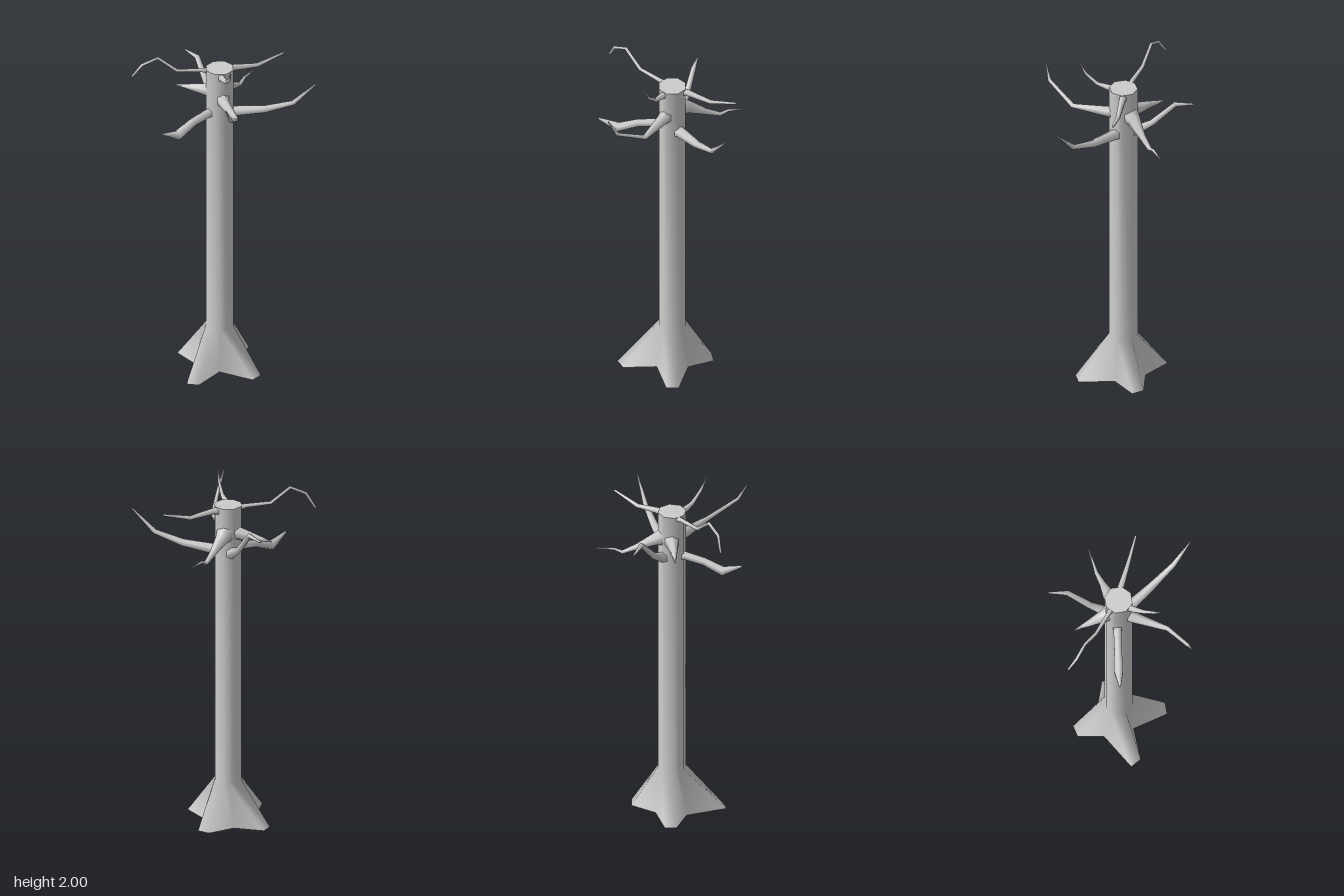
import * as THREE from 'three';

const V = (x, y, z) => new THREE.Vector3(x, y, z);
const material = new THREE.MeshStandardMaterial({ color: 0xcccccc });

// Skin equal-sized rings; sides share smooth normals, the end caps stay flat.
function loft(name, rings) {
  const n = rings[0].length, pos = [], idx = [];
  const push = (p) => pos.push(p.x, p.y, p.z) / 3 - 1;
  rings.forEach((ring) => ring.forEach(push));
  for (let i = 0; i < rings.length - 1; i++) {
    for (let j = 0; j < n; j++) {
      const a = i * n + j, b = i * n + (j + 1) % n;
      idx.push(a, b, a + n, b, b + n, a + n);
    }
  }
  [rings[0], rings[rings.length - 1]].forEach((ring, end) => {
    const mid = ring.reduce((s, p) => s.add(p), V(0, 0, 0)).divideScalar(n);
    const c = push(mid), first = ring.map(push)[0];
    for (let j = 0; j < n; j++) {
      const a = first + j, b = first + (j + 1) % n;
      if (end) idx.push(c, a, b); else idx.push(c, b, a);
    }
  });
  const g = new THREE.BufferGeometry();
  g.setAttribute('position', new THREE.Float32BufferAttribute(pos, 3));
  g.setIndex(idx);
  g.computeVertexNormals();
  const mesh = new THREE.Mesh(g, material);
  mesh.name = name;
  return mesh;
}

// Tapered, kinked limb: each point is [x, y, z, radius].
function limb(name, points, sides = 6) {
  const c = points.map((p) => V(p[0], p[1], p[2]));
  const rings = c.map((p, i) => {
    const t = c[Math.min(i + 1, c.length - 1)].clone().sub(c[Math.max(i - 1, 0)]).normalize();
    const u = V(0, 1, 0).addScaledVector(t, -t.y).normalize();
    const v = t.clone().cross(u);
    return Array.from({ length: sides }, (_, j) => {
      const a = (j / sides) * Math.PI * 2, r = points[i][3];
      return p.clone().addScaledVector(u, Math.cos(a) * r).addScaledVector(v, Math.sin(a) * r);
    });
  });
  return loft(name, rings);
}

export function createModel() {
  const group = new THREE.Group();
  group.name = 'bareTree';

  // Trunk: octagon with a spare point on each diagonal side, where the roots part
  const trunkRing = (y) => {
    const ring = [];
    for (let q = 0; q < 4; q++) {
      [-22.5, 22.5, 45].forEach((d) => {
        const a = THREE.MathUtils.degToRad(q * 90 + d), r = d === 45 ? 0.074 : 0.08;
        ring.push(V(Math.sin(a) * r, y, Math.cos(a) * r - 0.042));
      });
    }
    return ring;
  };

  // Root outline on the ground: two tip corners, then the valley to the next root
  const rootRing = [
    [-0.03, 0.227], [0.04, 0.227], [0.09, 0.03],
    [0.232, -0.03], [0.218, -0.1], [0.07, -0.15],
    [-0.015, -0.3], [-0.08, -0.285], [-0.105, -0.14],
    [-0.305, -0.02], [-0.27, 0.04], [-0.085, 0.03],
  ].map(([x, z]) => V(x, 0, z));
  group.add(loft('trunkAndRoots', [rootRing, trunkRing(0.25), trunkRing(1.89)]));

  // Branches, each starting inside the trunk
  const branches = {
    lowerFrontLeftBranch: [[0.01, 1.61, -0.03, 0.045], [0.05, 1.62, 0.03, 0.032],
      [0.14, 1.645, 0.17, 0.023], [0.225, 1.70, 0.305, 0.015], [0.295, 1.83, 0.41, 0.004]],
    lowerRightBranch: [[-0.03, 1.62, -0.05, 0.04], [-0.08, 1.625, -0.06, 0.026],
      [-0.19, 1.61, -0.075, 0.024], [-0.30, 1.57, -0.09, 0.029], [-0.41, 1.62, -0.10, 0.006]],
    lowerBackBranch: [[0.02, 1.61, -0.07, 0.04], [0.045, 1.635, -0.12, 0.028],
      [0.07, 1.68, -0.19, 0.019], [0.115, 1.81, -0.31, 0.015], [0.135, 1.805, -0.415, 0.005]],
    middleLeftBranch: [[0.03, 1.74, -0.06, 0.06], [0.09, 1.72, -0.08, 0.038],
      [0.18, 1.675, -0.1, 0.02], [0.265, 1.64, -0.122, 0.012], [0.31, 1.66, -0.13, 0.008],
      [0.408, 1.66, -0.145, 0.003]],
    middleFrontRightBranch: [[-0.01, 1.73, -0.02, 0.05], [-0.055, 1.715, 0.04, 0.032],
      [-0.15, 1.72, 0.21, 0.014], [-0.30, 1.81, 0.303, 0.01], [-0.35, 1.90, 0.31, 0.004]],
    middleBackBranch: [[0, 1.735, -0.08, 0.05], [-0.02, 1.73, -0.12, 0.038],
      [-0.045, 1.725, -0.2, 0.022], [-0.075, 1.715, -0.303, 0.003]],
    upperLeftBranch: [[0.03, 1.855, -0.04, 0.032], [0.08, 1.868, -0.015, 0.02],
      [0.215, 1.848, 0.047, 0.013], [0.36, 1.89, 0.115, 0.006]],
    upperFrontRightBranch: [[-0.02, 1.865, -0.02, 0.024], [-0.06, 1.87, 0.03, 0.018],
      [-0.09, 1.885, 0.085, 0.011], [-0.125, 1.94, 0.142, 0.008], [-0.15, 2.0, 0.17, 0.003]],
    upperBackRightBranch: [[-0.03, 1.87, -0.08, 0.02], [-0.07, 1.88, -0.11, 0.013],
      [-0.18, 1.89, -0.2, 0.01], [-0.26, 1.978, -0.272, 0.009], [-0.325, 1.94, -0.33, 0.009],
      [-0.35, 1.86, -0.38, 0.006]],
  };
  for (const [name, points] of Object.entries(branches)) group.add(limb(name, points));
  return group;
}
